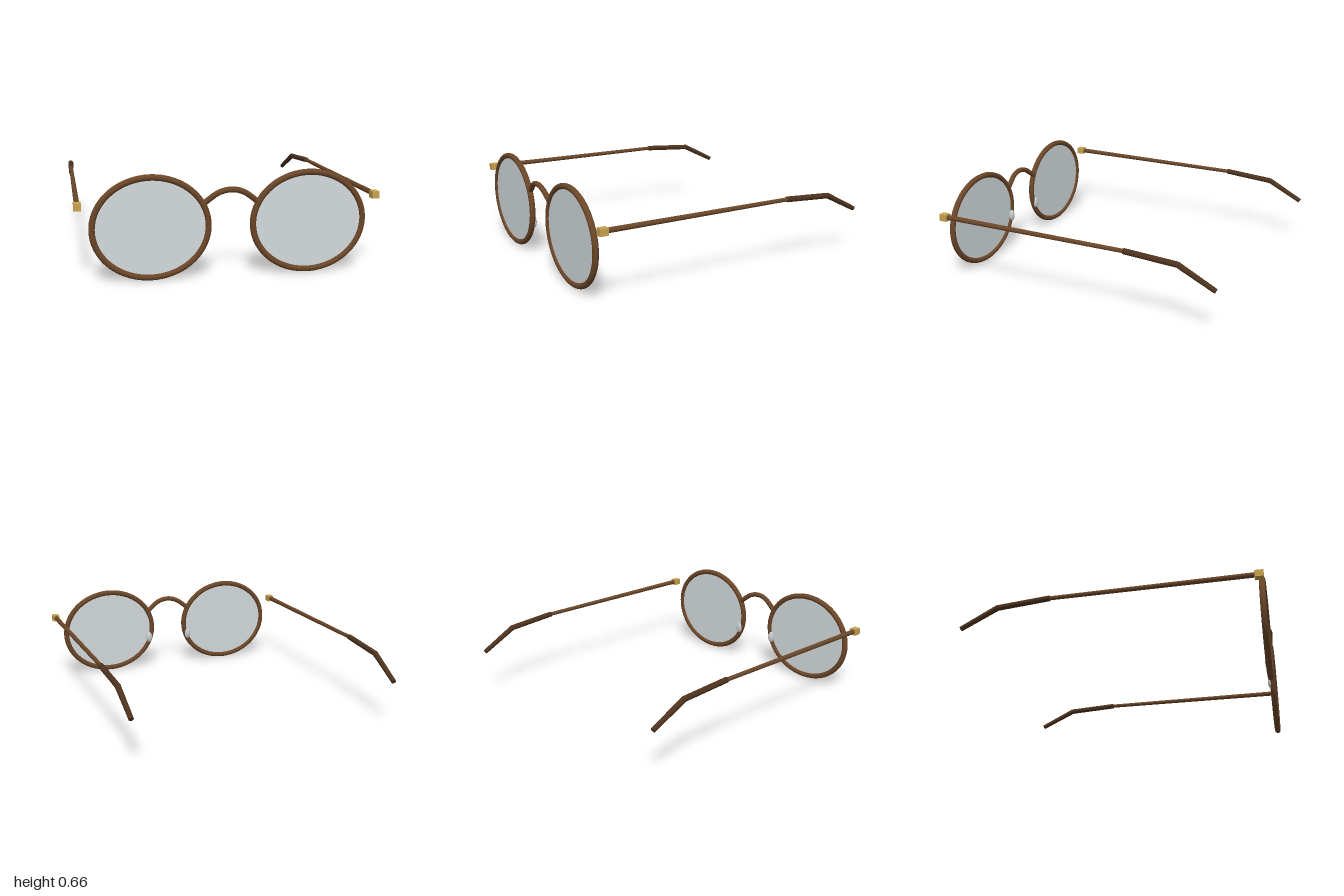
import * as THREE from 'three';

const mat = (color) => new THREE.MeshStandardMaterial({ color });
const V = (x, y, z) => new THREE.Vector3(x, y, z);

export function createModel() {
  const model = new THREE.Group();
  model.name = 'spectacles';
  const frame = mat(0x6b4628);
  const tipMat = mat(0x4d321d);
  const brass = mat(0xc9a24e);
  const glass = mat(0xd3dadd);
  const padMat = mat(0xc8ccce);

  const add = (parent, name, geometry, material, pos) => {
    const mesh = new THREE.Mesh(geometry, material);
    mesh.name = name;
    if (pos) mesh.position.copy(pos);
    parent.add(mesh);
    return mesh;
  };

  // Round rod between two points
  const rod = (parent, name, a, b, ra, rb, material) => {
    const dir = b.clone().sub(a);
    const mesh = add(parent, name, new THREE.CylinderGeometry(rb, ra, dir.length(), 16), material,
      a.clone().lerp(b, 0.5));
    mesh.quaternion.setFromUnitVectors(V(0, 1, 0), dir.normalize());
    return mesh;
  };

  const rx = 0.355, ry = 0.31, frontZ = 0.967;

  // Closed oval path of the rim
  const oval = new THREE.CatmullRomCurve3(
    Array.from({ length: 32 }, (_, i) => {
      const t = (i / 32) * Math.PI * 2;
      return V(rx * Math.cos(t), ry * Math.sin(t), 0);
    }), true);

  for (const s of [1, -1]) {
    const side = s > 0 ? 'left' : 'right';

    // Rim and lens
    const eye = new THREE.Group();
    eye.name = side + 'Eye';
    eye.position.set(s * 0.495, 0.33, frontZ);
    model.add(eye);
    add(eye, side + 'Rim', new THREE.TubeGeometry(oval, 96, 0.0195, 14, true), frame);
    const lens = new THREE.CylinderGeometry(1, 1, 0.01, 64).rotateX(Math.PI / 2).scale(rx, ry, 1);
    add(eye, side + 'Lens', lens, glass);

    // Nose pad
    const pad = new THREE.SphereGeometry(1, 20, 14).scale(0.024, 0.042, 0.018);
    add(model, side + 'NosePad', pad, padMat, V(s * 0.168, 0.243, 0.949));

    // Hinge block, side arm and bent ear tip
    add(model, side + 'Hinge', new THREE.BoxGeometry(0.046, 0.046, 0.056), brass,
      V(s * 0.931, 0.479, 0.957));
    const temple = new THREE.Group();
    temple.name = side + 'Temple';
    model.add(temple);
    const start = V(s * 0.931, 0.481, 0.95);
    const join = V(s * 0.919, 0.475, -0.385);
    const knee = V(s * 0.909, 0.449, -0.74);
    const end = V(s * 0.902, 0.323, -0.985);
    rod(temple, side + 'Arm', start, join, 0.017, 0.0135, frame);
    rod(temple, side + 'TipFront', join, knee, 0.019, 0.019, tipMat);
    rod(temple, side + 'TipRear', knee, end, 0.019, 0.016, tipMat);
    add(temple, side + 'TipBend', new THREE.SphereGeometry(0.019, 16, 12), tipMat, knee);
  }

  // Arched bridge
  const bridge = new THREE.CatmullRomCurve3([
    V(-0.172, 0.465, 0.962), V(-0.075, 0.534, 0.973), V(0, 0.55, 0.976),
    V(0.075, 0.534, 0.973), V(0.172, 0.465, 0.962),
  ]);
  add(model, 'bridge', new THREE.TubeGeometry(bridge, 32, 0.018, 14), frame);

  return model;
}
